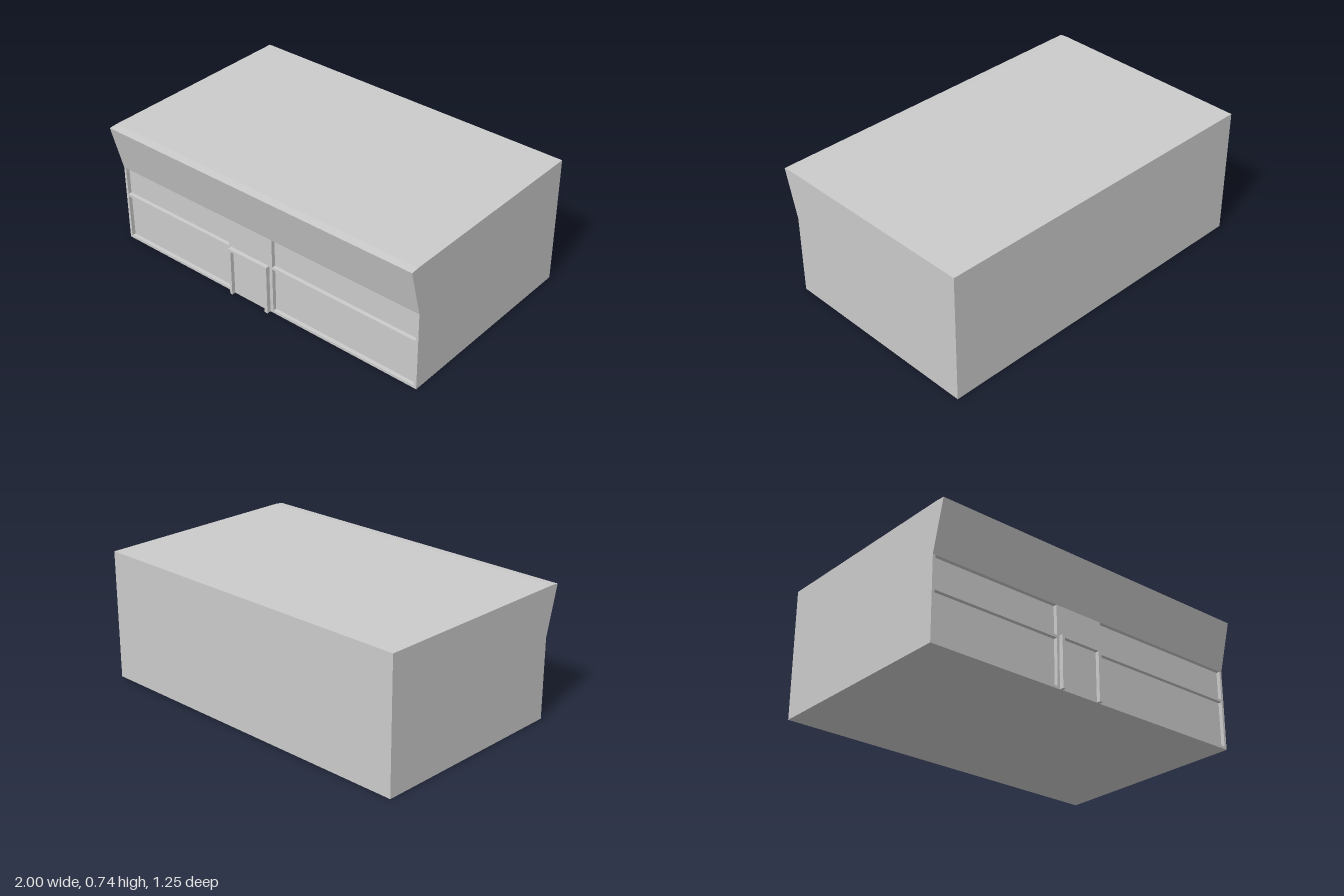
import * as THREE from 'three';

const material = new THREE.MeshStandardMaterial({ color: 0xcccccc, flatShading: true });

const toShape = (points) => new THREE.Shape(points.map(([x, y]) => new THREE.Vector2(x, y)));
const rect = (x0, y0, x1, y1) => [[x0, y0], [x1, y0], [x1, y1], [x0, y1]];
const extrude = (shape, depth) => new THREE.ExtrudeGeometry(shape, { depth, bevelEnabled: false });

export function createModel() {
  const group = new THREE.Group();
  const add = (name, geometry, z = 0) => {
    const mesh = new THREE.Mesh(geometry, material);
    mesh.name = name;
    mesh.position.z = z;
    group.add(mesh);
  };

  const wallZ = 0.556, glassZ = 0.534, frameZ = 0.58;
  const eaveY = 0.457, sillY = 0.015, transomLow = 0.275, transomHigh = 0.29;
  const bays = [[-0.985, -0.225], [0.075, 0.985]];

  // Building volume with the sloping front fascia: side profile in (z, y)
  const body = extrude(toShape([
    [-0.627, 0], [glassZ, 0], [glassZ, eaveY], [wallZ, eaveY],
    [0.627, 0.733], [0.58, 0.737], [-0.627, 0.737],
  ]), 2);
  body.rotateY(-Math.PI / 2).translate(1, 0, 0);
  add('buildingBody', body);

  // Shopfront frame: upper windows are open notches, lower windows are holes
  const outline = [[-1, eaveY], [-1, 0], [1, 0], [1, eaveY]];
  for (const [x0, x1] of [...bays].reverse()) {
    outline.push([x1, eaveY], [x1, transomHigh], [x0, transomHigh], [x0, eaveY]);
  }
  const front = toShape(outline);
  for (const [x0, x1] of bays) {
    front.holes.push(toShape(rect(x0, sillY, x1, transomLow)));
  }
  add('shopfrontFrame', extrude(front, wallZ - glassZ), glassZ);

  // Projecting door surround, open at the ground
  add('doorSurround', extrude(toShape([
    [-0.21, 0], [-0.195, 0], [-0.195, transomLow], [0.035, transomLow],
    [0.035, 0], [0.055, 0], [0.055, transomHigh], [-0.21, transomHigh],
  ]), frameZ - wallZ), wallZ);

  // Door leaf
  add('door', extrude(toShape(rect(-0.195, 0, 0.035, transomLow)), 0.002), wallZ);

  return group;
}
